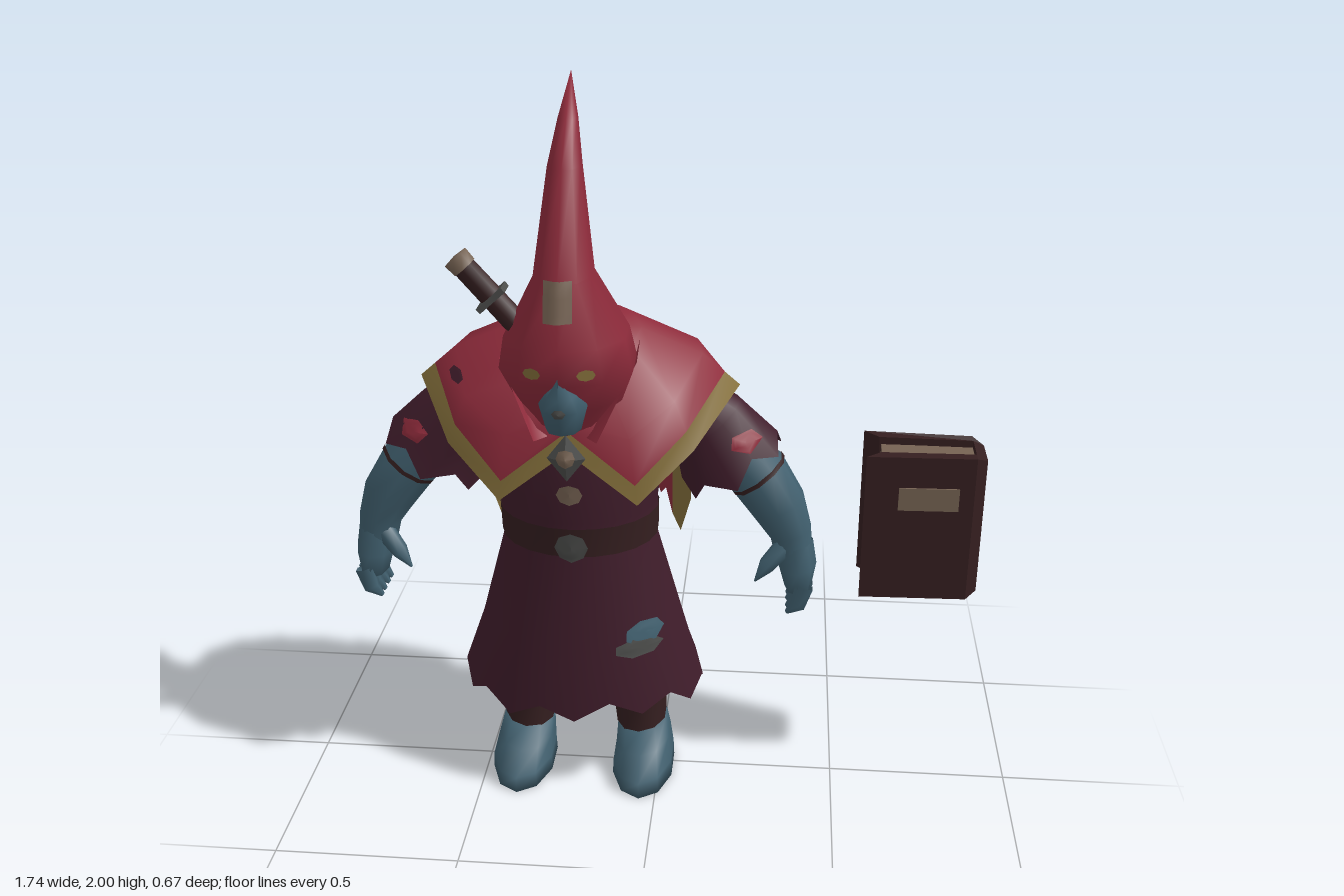
import * as THREE from 'three';
import { mergeVertices } from 'three/addons/utils/BufferGeometryUtils.js';

const paint = (name, color) => new THREE.MeshStandardMaterial({ name, color, side: THREE.DoubleSide });
const M = {
  red: paint('red cloth', 0x8e2b3b), gold: paint('gold trim', 0x846f3b),
  robe: paint('dark plum cloth', 0x401d2b), skin: paint('blue skin', 0x41606f),
  brown: paint('brown leather', 0x351f20), tan: paint('tan', 0x766353), grey: paint('grey metal', 0x4c4d4b),
};

function mesh(name, geo, mat, parent) {
  const m = new THREE.Mesh(geo, mat);
  m.name = name;
  parent.add(m);
  return m;
}

// Surface through rows of points; rows run upward, points run left to right as seen from outside
function sheet(rows) {
  const w = rows[0].length, index = [];
  for (let i = 0; i < rows.length - 1; i++) for (let j = 0; j < w - 1; j++) {
    const a = i * w + j, b = a + w;
    index.push(a, a + 1, b + 1, a, b + 1, b);
  }
  let g = new THREE.BufferGeometry();
  g.setAttribute('position', new THREE.Float32BufferAttribute(rows.flat(2), 3));
  g.setIndex(index);
  g = mergeVertices(g, 1e-4);
  g.computeVertexNormals();
  return g;
}

// Tube of elliptical rings [x, y, z, radius across, radius in z]; jag makes the first edge ragged
function tube(path, n = 10, jag = 0) {
  return sheet(path.map(([x, y, z, ra, rz], i) => {
    const p = path[Math.max(i - 1, 0)], q = path[Math.min(i + 1, path.length - 1)];
    const d = new THREE.Vector2(q[0] - p[0], q[1] - p[1]);
    if (d.length() < 1e-6) d.set(0, 1);
    d.normalize();
    return Array.from({ length: n + 1 }, (_, j) => {
      const t = (j % n) / n * Math.PI * 2, s = Math.sin(t) * ra;
      const k = i === 0 ? jag * (j % 2 ? 1 : -1) * (0.7 + 0.3 * Math.sin((j % n) * 2.3)) : 0;
      return [x + d.y * s + d.x * k, y - d.x * s + d.y * k, z + Math.cos(t) * rz];
    });
  }));
}

// Lays a flat shape onto the front or back of the given meshes
function decal(name, geo, mat, x, y, targets, parent, side = 1) {
  if (side < 0) geo.rotateY(Math.PI);
  geo.translate(x, y, 0);
  const ray = new THREE.Raycaster(), pos = geo.attributes.position;
  const hitZ = (px, py) => {
    ray.set(new THREE.Vector3(px, py, side * 2), new THREE.Vector3(0, 0, -side));
    const hit = ray.intersectObjects(targets, false)[0];
    return hit ? hit.point.z : null;
  };
  const mid = hitZ(x, y) ?? hitZ(x + 0.02, y - 0.02) ?? 0;
  for (let i = 0; i < pos.count; i++) pos.setZ(i, (hitZ(pos.getX(i), pos.getY(i)) ?? mid) + side * 0.007);
  geo.computeVertexNormals();
  return mesh(name, geo, mat, parent);
}

const patch = (w, h) => new THREE.PlaneGeometry(w, h, 5, 5);
const disc = (rx, ry, n = 8) => new THREE.RingGeometry(0.001, 1, n, 4).scale(rx, ry, 1);

function addBody(g) {
  // Robe, ragged at the hem
  const robe = mesh('robe', tube([
    [0, 0.285, -0.045, 0.345, 0.25], [0, 0.5, -0.02, 0.28, 0.22], [0, 0.75, -0.015, 0.212, 0.185],
    [0, 0.86, -0.01, 0.215, 0.188], [0, 1.05, -0.005, 0.24, 0.2], [0, 1.2, -0.02, 0.25, 0.18],
    [0, 1.3, -0.03, 0.1, 0.1]], 22, 0.035), M.robe, g);
  const belt = mesh('belt', tube([[0, 0.76, -0.015, 0.216, 0.189], [0, 0.845, -0.01, 0.218, 0.191]], 22), M.brown, g);
  decal('beltBuckle', disc(0.045, 0.045), M.grey, 0, 0.79, [robe, belt], g);
  decal('robeButton', disc(0.035, 0.03), M.tan, 0, 0.95, [robe], g);
  decal('robeHole', disc(0.05, 0.035, 7), M.skin, 0.19, 0.52, [robe], g);
  decal('robePatch', disc(0.065, 0.028, 7), M.grey, 0.175, 0.48, [robe], g);

  for (const s of [1, -1]) {
    const side = s > 0 ? 'left' : 'right';
    const limb = (name, pts, mat, n, jag) =>
      mesh(side + name, tube(pts.map(([x, ...r]) => [x * s, ...r]), n, jag), mat, g);
    // Arm and hand
    const sleeve = limb('Sleeve', [[0.42, 0.925, -0.1, 0.15, 0.13], [0.345, 1.05, -0.085, 0.115, 0.105],
      [0.22, 1.16, -0.06, 0.09, 0.09]], M.robe, 12, 0.035);
    decal(side + 'SleevePatch', disc(0.045, 0.03, 5), M.red, 0.45 * s, 1.035, [sleeve], g);
    const arm = limb('Arm', [[0.595, 0.65, -0.07, 0.052, 0.06], [0.58, 0.74, -0.07, 0.06, 0.062],
      [0.545, 0.82, -0.07, 0.077, 0.074], [0.485, 0.91, -0.075, 0.085, 0.08], [0.38, 1.02, -0.08, 0.08, 0.08]], M.skin);
    limb('ArmBand', [[0.49, 0.905, -0.075, 0.0865, 0.0815], [0.482, 0.915, -0.075, 0.087, 0.082]], M.brown);
    decal(side + 'ArmStripe', patch(0.1, 0.02), M.brown, 0.53 * s, 0.835, [arm], g, -1);
    limb('Palm', [[0.605, 0.57, -0.065, 0, 0], [0.605, 0.575, -0.065, 0.038, 0.067],
      [0.602, 0.64, -0.068, 0.053, 0.075], [0.59, 0.71, -0.07, 0.053, 0.062]], M.skin, 8);
    for (const z of [-0.12, -0.085, -0.045, -0.01])
      limb('Finger', [[0.575, 0.515, z, 0.006, 0.006], [0.605, 0.54, z, 0.025, 0.018],
        [0.622, 0.6, z, 0.029, 0.02]], M.skin, 6);
    limb('Thumb', [[0.485, 0.61, -0.01, 0.003, 0.003], [0.515, 0.66, -0.01, 0.024, 0.022],
      [0.565, 0.71, -0.04, 0.03, 0.028]], M.skin, 6);
    // Leg, wrapping and foot
    limb('Leg', [[0.165, 0.1, -0.04, 0.07, 0.09], [0.16, 0.42, -0.03, 0.075, 0.09]], M.skin);
    limb('LegWrap', [[0.165, 0.13, -0.04, 0.073, 0.096], [0.16, 0.23, -0.04, 0.078, 0.1]], M.brown);
    limb('Foot', [[0.175, 0, 0.015, 0, 0], [0.175, 0, 0.015, 0.09, 0.175], [0.175, 0.045, 0.015, 0.088, 0.172],
      [0.172, 0.09, -0.02, 0.08, 0.135], [0.167, 0.135, -0.04, 0.073, 0.098], [0.167, 0.14, -0.04, 0, 0]], M.skin);
  }
}

function addCape(g) {
  // Half of the mantle, from front to back: upper, middle and lower point of each column
  const half = [
    [[0, 1.22, 0.16], [0, 1.16, 0.195], [0, 1.08, 0.21]],
    [[0.09, 1.26, 0.14], [0.16, 1.12, 0.2], [0.18, 0.94, 0.215]],
    [[0.15, 1.32, 0.06], [0.27, 1.2, 0.14], [0.32, 1.07, 0.15]],
    [[0.17, 1.34, -0.03], [0.33, 1.27, -0.04], [0.43, 1.18, -0.05]],
    [[0.14, 1.36, -0.09], [0.31, 1.27, -0.15], [0.4, 1.13, -0.19]],
    [[0.1, 1.365, -0.13], [0.23, 1.27, -0.22], [0.285, 1.06, -0.255]],
    [[0.05, 1.365, -0.145], [0.12, 1.28, -0.245], [0.14, 1.06, -0.29]],
    [[0, 1.365, -0.15], [0, 1.28, -0.25], [0, 1.06, -0.3]],
  ].map(([top, mid, low], i) => {
    const l = new THREE.Vector3(...low), up = new THREE.Vector3(...mid).sub(l).setLength(i < 6 ? 0.055 : 0);
    return [low, l.add(up).toArray(), mid, top, [0, 1.37, 0]];
  });
  const flip = c => c.map(([x, y, z]) => [-x, y, z]);
  const cols = [...half, ...half.slice(0, 7).reverse().map(flip)];
  const row = k => cols.map(c => c[k]);
  const mantle = mesh('mantle', sheet([row(1), row(2), row(3), row(4)]), M.red, g);
  mesh('mantleTrim', sheet([row(0), row(1)]), M.gold, g);
  decal('mantleTear', disc(0.025, 0.015, 6), M.robe, -0.31, 1.225, [mantle], g);

  // Torn cloth hanging down the back
  const hang = pts => sheet([0, 0.5, 1].map(t => pts.map(([x, y]) =>
    [x, y + (1.065 - y) * t, -0.3 + 0.05 * (x / 0.285) ** 2 - 0.03 * (1 - t) * (1 - Math.abs(x) / 0.285)])));
  const cloth = mesh('backCloth', hang([[0.235, 0.68], [0.215, 0.76], [0.2, 0.74], [0.17, 0.82], [0.15, 0.73],
    [0.11, 0.76], [0.075, 0.72], [0.05, 0.8], [0.035, 0.96], [0.02, 0.78], [-0.02, 0.7], [-0.06, 0.77],
    [-0.08, 0.92], [-0.095, 0.76], [-0.13, 0.72], [-0.175, 0.8], [-0.2, 0.73], [-0.235, 0.68]]), M.red, g);
  for (const s of [1, -1]) {
    const strip = [[0.29, 0.74], [0.26, 0.63], [0.235, 0.68]].map(([x, y]) => [x * s, y]);
    mesh('backStrip', hang(s > 0 ? strip : strip.reverse()), M.gold, g);
    // Emblem spurs and tails
    decal('emblemTail', patch(0.035, 0.25), M.gold, 0.12 * s, 1.02, [mantle, cloth], g, -1);
    decal('emblemSpur', patch(0.08, 0.03), M.gold, 0.165 * s, 1.19, [mantle], g, -1);
    // Standing collar beside the face
    const collar = [[[0.05, 1.12, 0.2], [0.12, 1.2, 0.15], [0.14, 1.28, 0.0]],
      [[0.08, 1.12, 0.235], [0.175, 1.31, 0.15], [0.17, 1.325, 0.0]]];
    mesh('collar', sheet(s > 0 ? collar : collar.map(r => flip(r).reverse())), M.red, g);
  }
  decal('emblemDisc', disc(0.09, 0.125, 20), M.gold, 0, 1.175, [mantle, cloth], g, -1);
  const arch = new THREE.RingGeometry(0.84, 1, 32, 4, -0.6, Math.PI + 1.2).scale(0.137, 0.165, 1);
  decal('emblemArch', arch, M.gold, 0, 1.18, [mantle, cloth], g, -1);
  const clasp = mesh('clasp', new THREE.OctahedronGeometry(1).scale(0.05, 0.065, 0.02).translate(0, 1.07, 0.222), M.grey, g);
  decal('claspStud', disc(0.025, 0.025), M.tan, 0, 1.075, [clasp], g);
}

function addHead(g) {
  // Pointed hood leaning back at the tip
  const hood = mesh('hood', tube([
    [0, 1.12, 0.1, 0.09, 0.1], [0, 1.21, 0.11, 0.145, 0.14], [0, 1.3, 0.135, 0.178, 0.185],
    [0, 1.39, 0.15, 0.16, 0.174], [0, 1.55, 0.175, 0.075, 0.117], [0, 1.8, 0.115, 0.043, 0.062],
    [0, 1.9, 0.043, 0.025, 0.037], [0, 2, -0.03, 0, 0]], 10), M.red, g);
  const face = mesh('face', tube([[0, 1.15, 0.25, 0, 0], [0, 1.165, 0.25, 0.045, 0.05], [0, 1.23, 0.25, 0.062, 0.08],
    [0, 1.27, 0.26, 0.045, 0.075], [0, 1.325, 0.29, 0, 0.035]], 8), M.skin, g);
  decal('noseMark', disc(0.018, 0.014, 6), M.grey, 0, 1.235, [face], g);
  decal('hoodPatch', patch(0.07, 0.1), M.tan, 0, 1.51, [hood], g);
  for (const s of [1, -1]) decal('eye', disc(0.023, 0.015), M.gold, 0.067 * s, 1.33, [hood], g);
}

function addDagger(g) {
  mesh('daggerGrip', tube([[-0.08, 1.38, 0.2, 0.033, 0.027], [-0.25, 1.573, 0.2, 0.031, 0.026]], 8), M.brown, g);
  mesh('daggerPommel', tube([[-0.24, 1.562, 0.2, 0.034, 0.028], [-0.262, 1.587, 0.2, 0.036, 0.03],
    [-0.265, 1.59, 0.2, 0, 0]], 8), M.tan, g);
  const guard = mesh('daggerGuard', new THREE.BoxGeometry(0.085, 0.015, 0.058), M.grey, g);
  guard.position.set(-0.175, 1.487, 0.2);
  guard.rotation.z = 0.73;
}

function addBook(g) {
  // Cover wraps around the spine on the +x side
  const outline = [[0.55, 0.035], [0.84, 0.027], [0.87, 0], [0.87, -0.1], [0.84, -0.127], [0.55, -0.14],
    [0.59, -0.1], [0.84, -0.095], [0.84, -0.005], [0.59, 0]].map(p => new THREE.Vector2(...p));
  const geo = new THREE.ExtrudeGeometry(new THREE.Shape(outline), { depth: 0.42, bevelEnabled: false });
  geo.rotateX(Math.PI / 2).translate(0, 1.02, 0);
  const p = geo.attributes.position;
  for (let i = 0; i < p.count; i++) if (p.getX(i) > 0.86) p.setY(i, 0.81 + (p.getY(i) - 0.81) * 0.93);
  geo.computeVertexNormals();
  mesh('bookCover', geo, M.brown, g);
  mesh('bookPages', new THREE.BoxGeometry(0.25, 0.38, 0.096), M.tan, g).position.set(0.72, 0.81, -0.05);
  const label = mesh('bookLabel', new THREE.BoxGeometry(0.16, 0.065, 0.008), M.tan, g);
  label.position.set(0.72, 0.9, 0.031);
  label.rotation.y = 0.028;
}

export function createModel() {
  const model = new THREE.Group();
  model.name = 'hoodedFigureWithBook';
  const figure = new THREE.Group(), book = new THREE.Group();
  figure.name = 'figure';
  book.name = 'book';
  addBody(figure);
  addCape(figure);
  addHead(figure);
  addDagger(figure);
  figure.position.x = -0.22;
  addBook(book);
  model.add(figure, book);
  return model;
}
